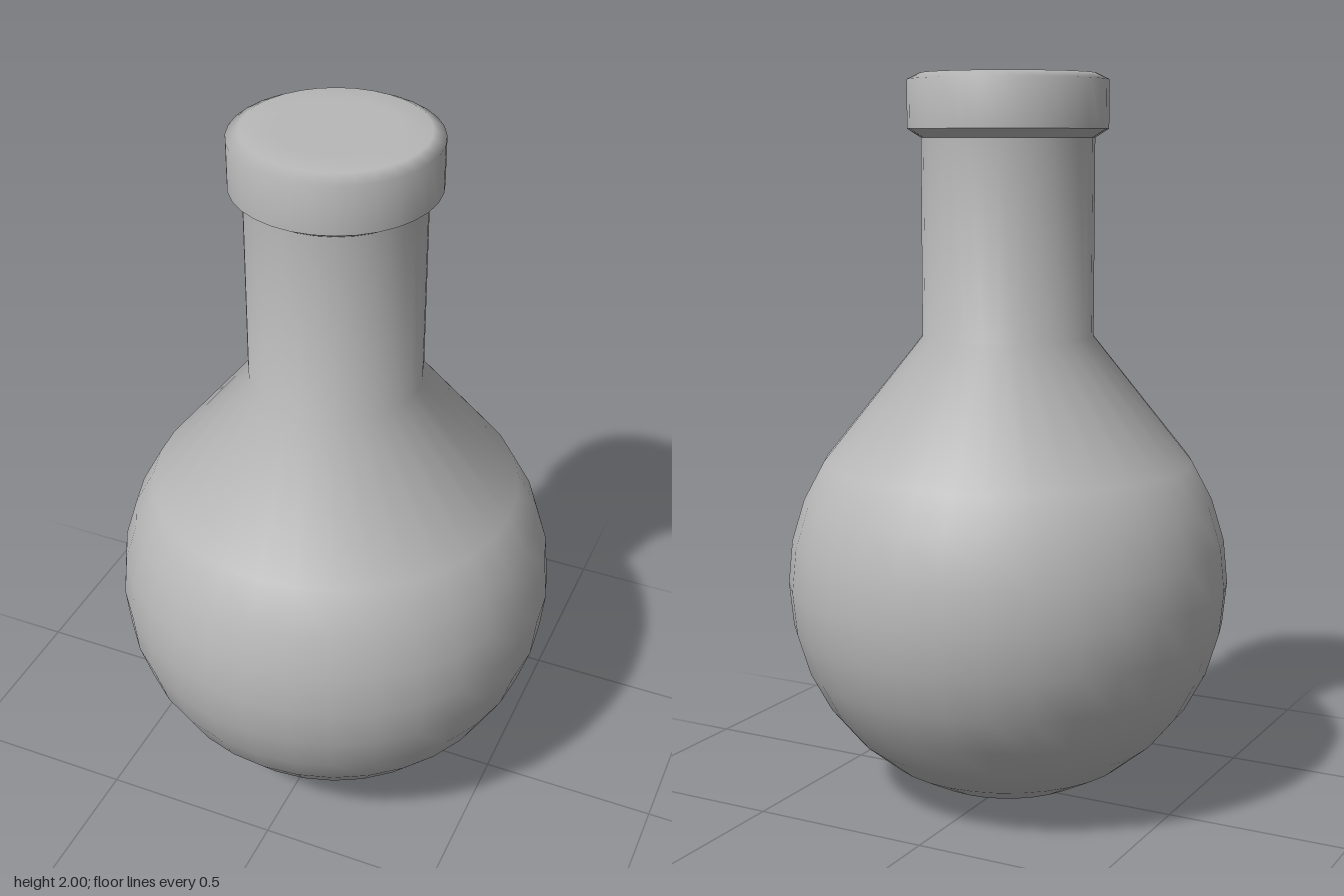
import * as THREE from 'three';

const SEGMENTS = 32;

export function createModel() {
  const group = new THREE.Group();
  group.name = 'roundFlask';
  const grey = new THREE.MeshStandardMaterial({ color: 0xb8b8b8 });
  grey.name = 'grey';

  // Revolve a profile of [radius, height] pairs, listed from bottom to top
  const turn = (name, profile) => {
    const points = profile.map(([r, y]) => new THREE.Vector2(r, y));
    const mesh = new THREE.Mesh(new THREE.LatheGeometry(points, SEGMENTS), grey);
    mesh.name = name;
    group.add(mesh);
  };

  // Round bulb running smoothly through the shoulder into the neck
  const R = 0.612;
  const bulb = [];
  for (let i = 0; i <= 11; i++) {
    const a = (i * Math.PI) / 16;
    bulb.push([R * Math.sin(a), R - R * Math.cos(a)]);
  }
  turn('bulbAndNeck', [...bulb, [0.235, 1.295], [0.235, 1.835]]);

  // Sharp-edged underside of the lip
  turn('lipUnderside', [[0.235, 1.83], [0.272, 1.853]]);

  // Lip with a softened rim and closed flat top
  turn('lip', [[0.272, 1.853], [0.272, 1.983], [0.238, 2], [0.16, 2], [0, 2]]);

  return group;
}
